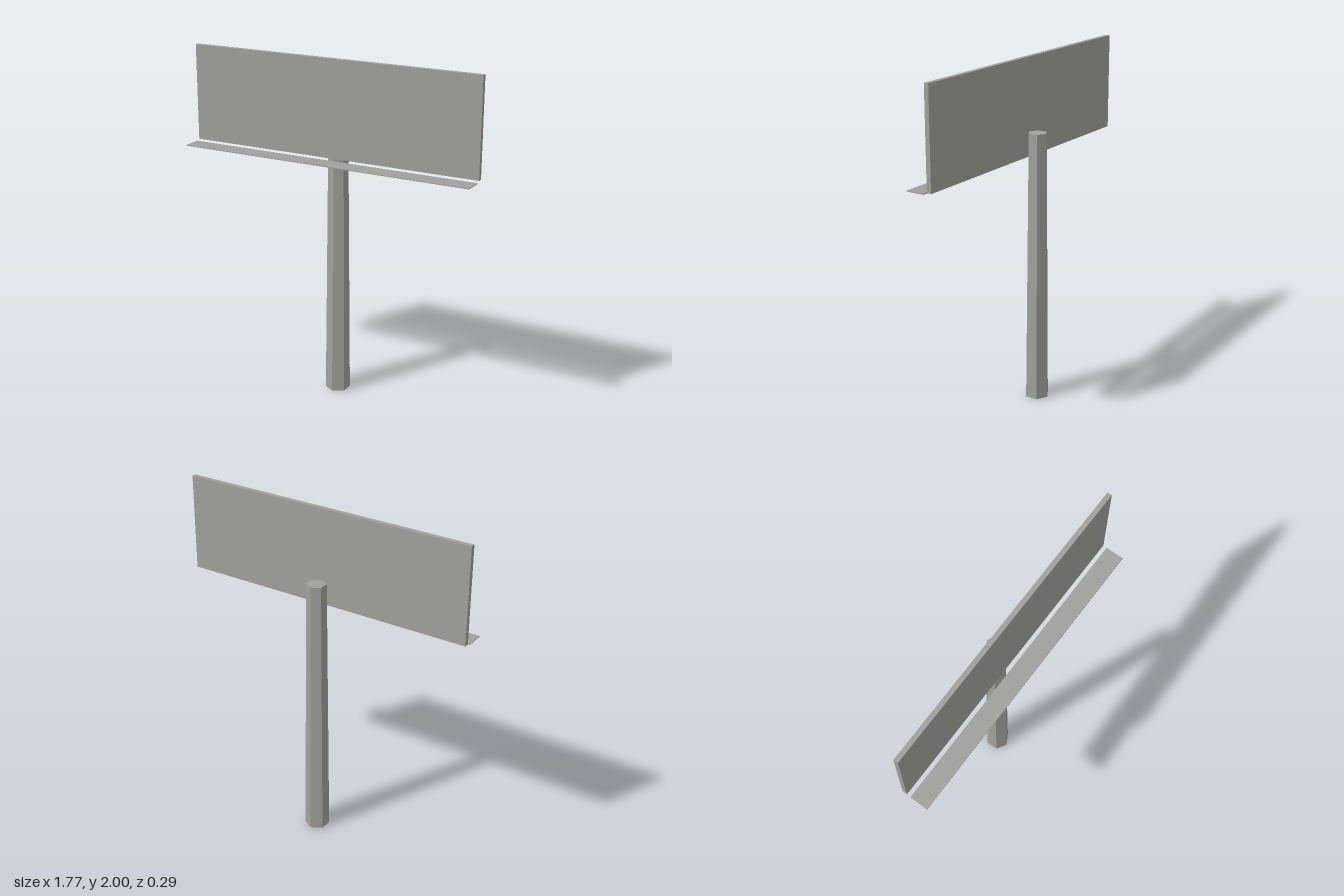
import * as THREE from 'three';

export function createModel() {
  const group = new THREE.Group();
  const grey = new THREE.MeshStandardMaterial({ color: 0xa0a09d });
  grey.name = 'grey metal';
  grey.flatShading = true;
  grey.side = THREE.DoubleSide;

  const add = (name, geometry, x, y, z) => {
    const mesh = new THREE.Mesh(geometry, grey);
    mesh.name = name;
    mesh.position.set(x, y, z);
    group.add(mesh);
  };

  // Upright board
  add('boardPanel', new THREE.BoxGeometry(1.772, 0.56, 0.027), 0, 1.72, 0.001);

  // Thin ledge in front of the board's lower edge
  add('frontLedge', new THREE.BoxGeometry(1.772, 0.005, 0.109), 0, 1.431, 0.0905);

  // Tapered six-sided post, capped on top and hollow below
  const profile = [[0.072, 0], [0.056, 1.585], [0, 1.585]].map(([r, y]) => new THREE.Vector2(r, y));
  add('post', new THREE.LatheGeometry(profile, 6), 0, 0, -0.073);

  return group;
}
